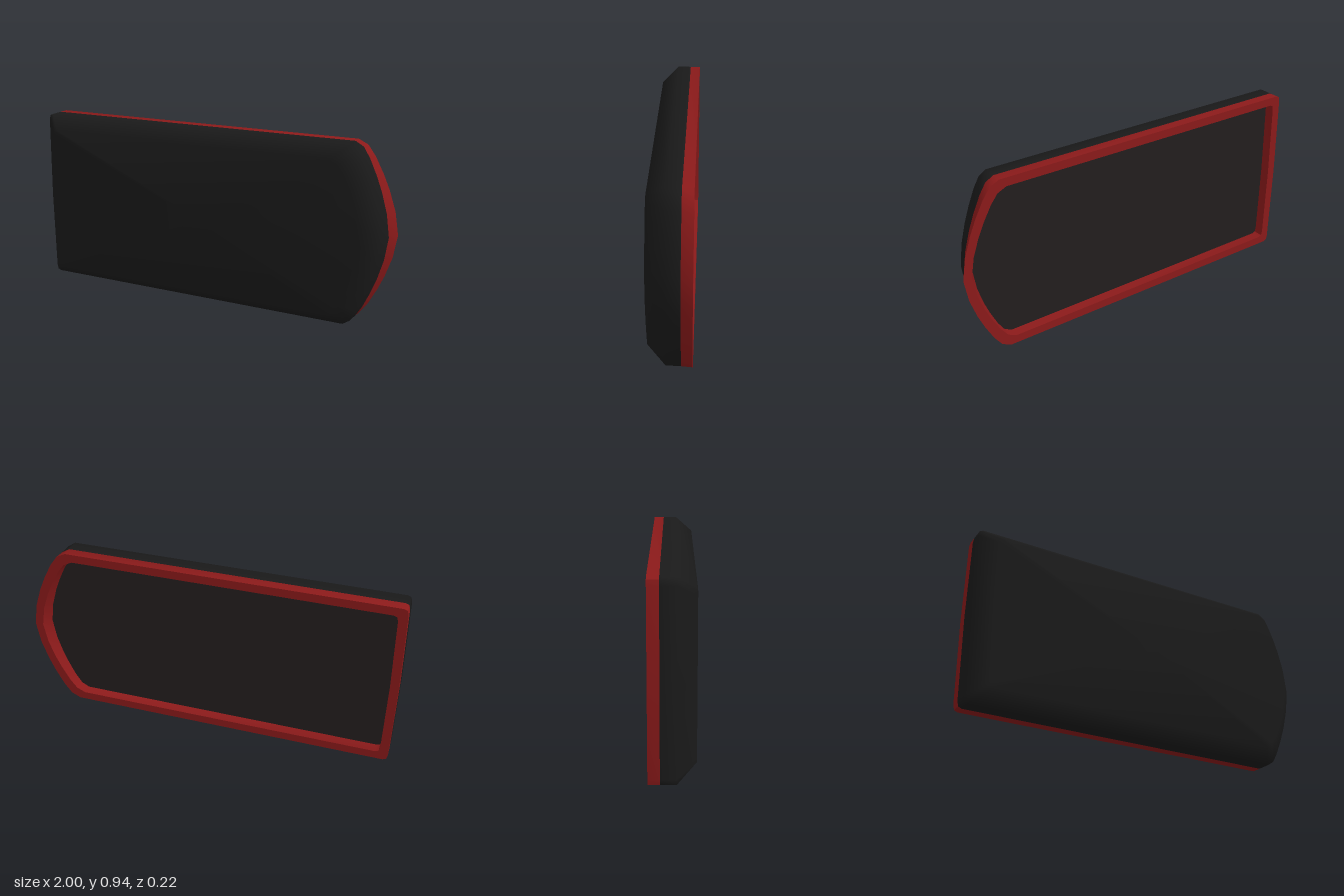
import * as THREE from 'three';
import { toCreasedNormals } from 'three/addons/utils/BufferGeometryUtils.js';

const MID = 0.47; // half the height
const BEND = 0.775; // where the pointed end begins

// Upper half of the outline, from the pointed end to the square end
const HALF = [
  [1, 0], [0.98, 0.12], [0.945, 0.225], [0.91, 0.305], [0.865, 0.39], [0.825, 0.445], [0.775, 0.47],
  [-0.97, 0.47], [-0.988, 0.462], [-0.994, 0.435], [-1, 0],
];
const OUTLINE = [...HALF, ...HALF.slice(1, -1).reverse().map(([x, y]) => [x, -y])];

// One cross-section: tip shortens the pointed end, insetX / insetY shrink the outline
function ring(z, tip, insetX = 0, insetY = insetX) {
  return OUTLINE.map(([x, y]) => {
    const px = x > BEND ? BEND + (x - BEND) * tip : x;
    return [px * (1 - insetX), MID + y * (1 - insetY / MID), z];
  });
}

// Skin joining successive rings, optionally closed at the last one
function loft(rings, capped = false) {
  const n = OUTLINE.length;
  const points = rings.flat();
  const index = [];
  for (let r = 0; r < rings.length - 1; r++) {
    for (let i = 0; i < n; i++) {
      const a = r * n + i, b = r * n + (i + 1) % n;
      index.push(a, b, b + n, a, b + n, a + n);
    }
  }
  if (capped) {
    const start = (rings.length - 1) * n;
    points.push([0, MID, rings[rings.length - 1][0][2]]);
    for (let i = 0; i < n; i++) index.push(start + i, start + (i + 1) % n, points.length - 1);
  }
  const geometry = new THREE.BufferGeometry();
  geometry.setAttribute('position', new THREE.Float32BufferAttribute(points.flat(), 3));
  geometry.setIndex(index);
  geometry.computeVertexNormals();
  return geometry;
}

export function createModel() {
  const group = new THREE.Group();
  const add = (name, geometry, color) => {
    const mesh = new THREE.Mesh(geometry, new THREE.MeshStandardMaterial({ color }));
    mesh.name = name;
    group.add(mesh);
  };

  // Dark shell with a chamfered, softly shaded front
  add('shell', loft([ring(-0.055, 0.86), ring(0.02, 0.77), ring(0.11, 0.77, 0.09, 0.07)], true), 0x1a1a1a);

  // Raised red border: inner wall, back face, outer wall
  const rim = loft([ring(-0.055, 0.86, 0.045), ring(-0.11, 1, 0.045), ring(-0.11, 1), ring(-0.055, 0.86)]);
  add('rim', toCreasedNormals(rim, 0.9), 0x8b1a1a);

  // Recessed back panel, facing backward
  const panel = loft([ring(-0.055, 0.86, 0.045)], true);
  panel.setIndex(Array.from(panel.index.array).reverse());
  panel.computeVertexNormals();
  add('backPanel', panel, 0x231e1e);

  return group;
}
